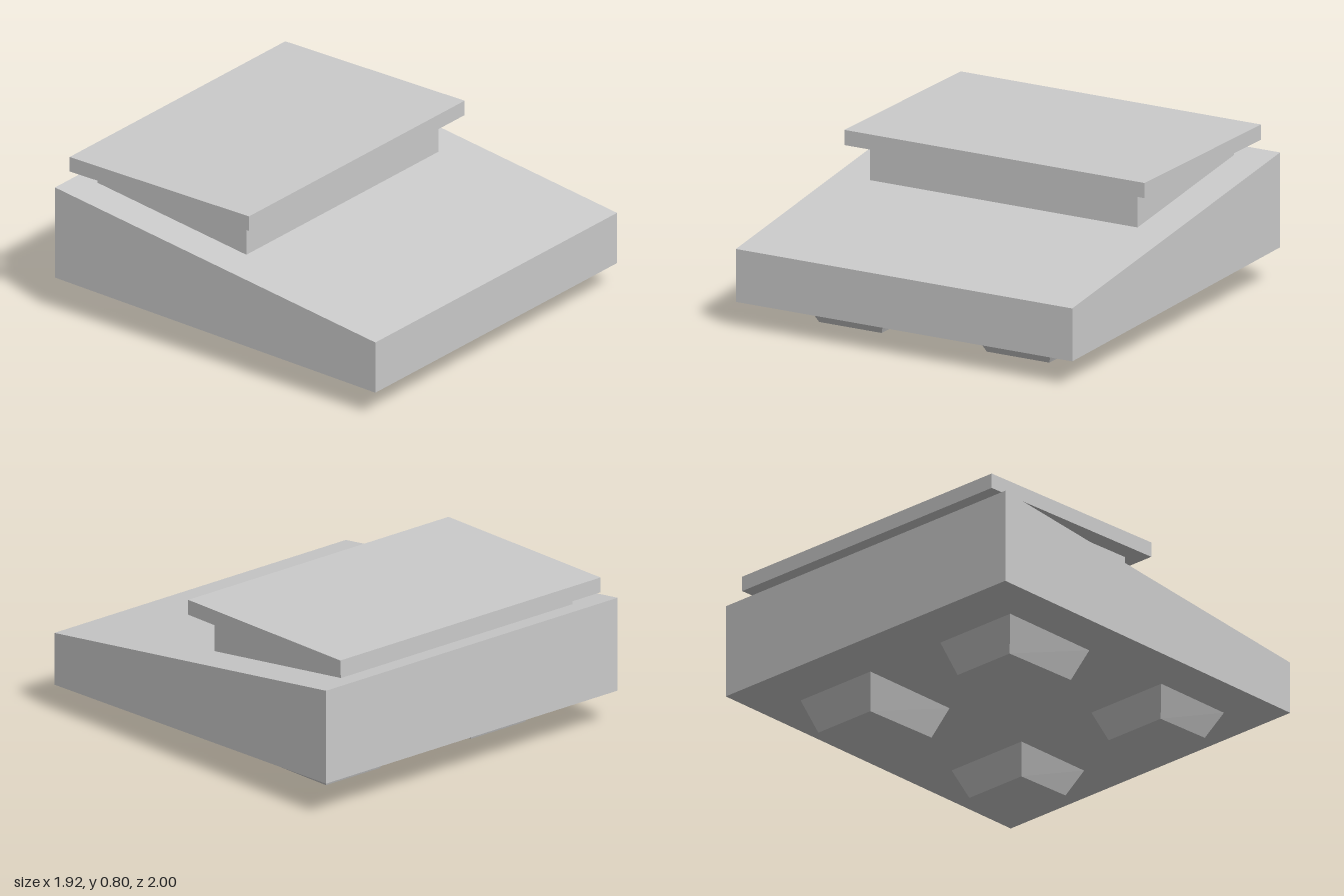
import * as THREE from 'three';

const material = new THREE.MeshStandardMaterial({ color: 0xcccccc, flatShading: true });

// Heights of the sloping top and underside of the base at depth z
const topY = (z) => 0.5375 - 0.1325 * z;
const undersideY = (z) => 0.1575 - 0.0245 * z;

// Six-sided block between two rectangles [x0, x1, z0, z1]; heights are functions of z
function block(name, lower, upper, lowY, highY) {
  const geometry = new THREE.BoxGeometry(1, 1, 1);
  const p = geometry.attributes.position;
  for (let i = 0; i < p.count; i++) {
    const isTop = p.getY(i) > 0;
    const rect = isTop ? upper : lower;
    const x = rect[p.getX(i) > 0 ? 1 : 0];
    const z = rect[p.getZ(i) > 0 ? 3 : 2];
    p.setXYZ(i, x, (isTop ? highY : lowY)(z), z);
  }
  geometry.computeVertexNormals();
  const mesh = new THREE.Mesh(geometry, material);
  mesh.name = name;
  return mesh;
}

export function createModel() {
  const model = new THREE.Group();
  model.name = 'wedgePedestal';

  // Wedge-shaped base
  const base = [-0.96, 0.96, -1, 1];
  model.add(block('base', base, base, undersideY, topY));

  // Riser standing on the slope, and the level plate above it
  const riser = [-0.763, 0.763, -0.89, 0.04];
  model.add(block('riser', riser, riser, topY, () => 0.722));
  const plate = [-0.857, 0.857, -0.99, 0.13];
  model.add(block('plate', plate, plate, () => 0.722, () => 0.8));

  // Four tapered feet, wider where they meet the underside
  const feet = [
    { name: 'front', lower: [0.40, 0.71], upper: [0.34, 0.78] },
    { name: 'back', lower: [-0.66, -0.23], upper: [-0.72, -0.165] },
  ];
  for (const { name, lower, upper } of feet) {
    for (const side of [-1, 1]) {
      const span = (a, b) => (side > 0 ? [a, b] : [-b, -a]);
      model.add(block(
        name + (side > 0 ? 'LeftFoot' : 'RightFoot'),
        [...span(0.30, 0.657), ...lower],
        [...span(0.24, 0.72), ...upper],
        () => 0,
        undersideY,
      ));
    }
  }
  return model;
}
